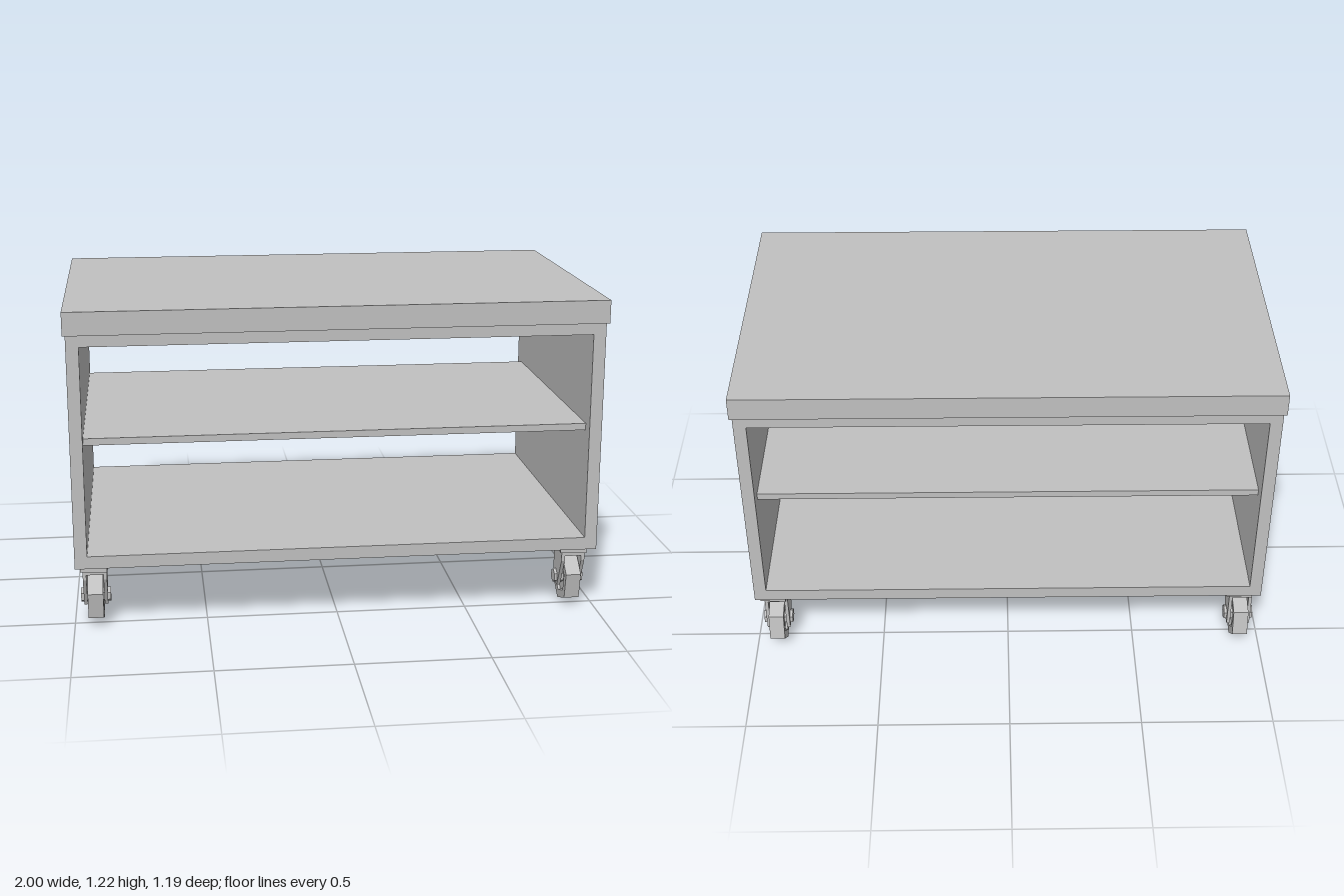
import * as THREE from 'three';

const grey = new THREE.MeshStandardMaterial({ color: 0xc0c0c0, flatShading: true });
grey.name = 'light grey';

function part(name, geometry, x = 0, y = 0, z = 0) {
  const mesh = new THREE.Mesh(geometry, grey);
  mesh.name = name;
  mesh.position.set(x, y, z);
  return mesh;
}

// Box given by its extents on each axis
function block(name, [x0, x1], [y0, y1], [z0, z1]) {
  return part(name, new THREE.BoxGeometry(x1 - x0, y1 - y0, z1 - z0),
    (x0 + x1) / 2, (y0 + y1) / 2, (z0 + z1) / 2);
}

// Cabinet shell, open at front and back
function cabinet() {
  const rect = (path, w, y0, y1) =>
    path.moveTo(-w, y0).lineTo(w, y0).lineTo(w, y1).lineTo(-w, y1).closePath();
  const shape = rect(new THREE.Shape(), 0.99, 0.252, 1.135);
  shape.holes.push(rect(new THREE.Path(), 0.943, 0.3, 1.092));
  const geometry = new THREE.ExtrudeGeometry(shape, { depth: 1.157, bevelEnabled: false });
  return part('cabinet', geometry, 0, 0, -0.568);
}

// Caster with its wheel axle at local x = 0, z = 0
function caster() {
  const group = new THREE.Group();
  group.name = 'caster';
  const axleY = 0.104;

  const plate = part('mountingPlate', new THREE.BoxGeometry(0.1, 0.026, 0.146), 0.003, 0.24, 0.022);
  plate.rotation.y = -0.09;
  group.add(plate);

  // Fork: bridge and two tapered cheeks
  group.add(block('forkBridge', [-0.045, 0.045], [0.21, 0.228], [-0.035, 0.078]));
  const outline = [[0.078, 0.228], [0.078, 0.19], [0.023, 0.073], [-0.035, 0.073], [-0.035, 0.228]];
  const cheek = new THREE.ExtrudeGeometry(
    new THREE.Shape(outline.map(([z, y]) => new THREE.Vector2(z, y))),
    { depth: 0.013, bevelEnabled: false });
  cheek.rotateY(-Math.PI / 2);
  group.add(part('forkCheek', cheek, 0.045), part('forkCheek', cheek, -0.032));

  // Six-sided wheel with recessed faces
  const profile = [[0, -0.02], [0.064, -0.02], [0.068, -0.029], [0.102, -0.029],
    [0.102, 0.029], [0.068, 0.029], [0.064, 0.02], [0, 0.02]];
  const wheel = new THREE.LatheGeometry(
    profile.map(([r, h]) => new THREE.Vector2(r, h)), 6, THREE.MathUtils.degToRad(20));
  wheel.rotateZ(Math.PI / 2);
  group.add(part('wheel', wheel, 0, axleY));

  // Hexagonal axle bolt
  const bolt = new THREE.CylinderGeometry(0.028, 0.028, 0.112, 6, 1, false, Math.PI / 6);
  bolt.rotateZ(Math.PI / 2);
  group.add(part('axleBolt', bolt, 0, axleY));
  return group;
}

export function createModel() {
  const model = new THREE.Group();
  model.name = 'rollingCabinet';
  model.add(
    block('worktop', [-1, 1], [1.135, 1.222], [-0.577, 0.599]),
    cabinet(),
    block('shelf', [-0.943, 0.943], [0.712, 0.738], [-0.51, 0.535]));

  // All four casters point the same way
  for (const x of [-0.919, 0.914]) {
    for (const z of [0.464, -0.5]) {
      const c = caster();
      c.position.set(x, 0, z);
      model.add(c);
    }
  }
  return model;
}
